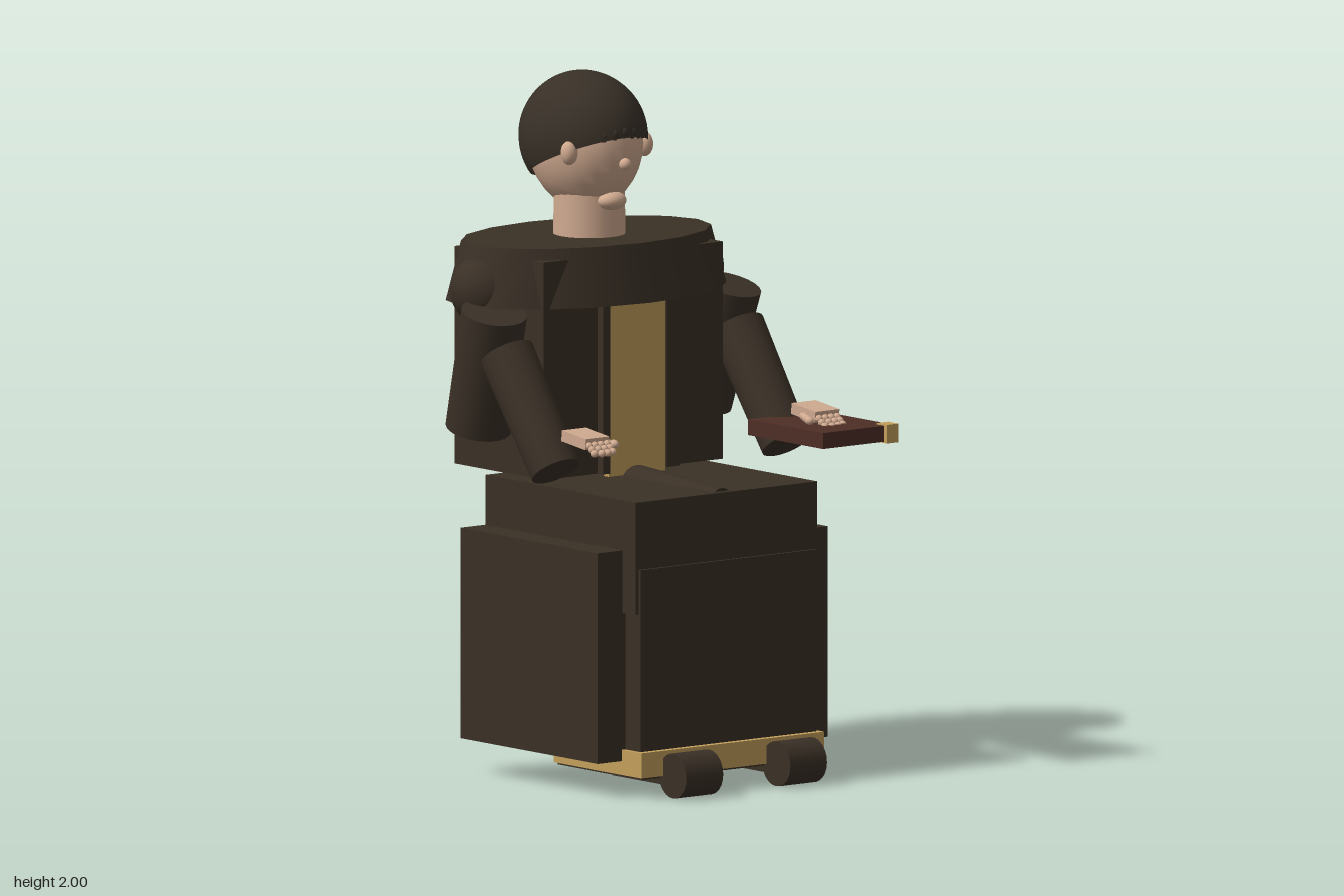
import * as THREE from 'three';

const mat = (name, color) => new THREE.MeshStandardMaterial({ name, color });

export function createModel() {
  const robe = mat('dark robe', 0x3a3026);
  const gold = mat('gold trim', 0xc4a05c);
  const skin = mat('skin', 0xd0aa90);
  const wood = mat('red brown', 0x4e2e26);
  const model = new THREE.Group();
  const CX = -0.018; // body centre line

  const add = (name, geo, material, parent = model) => {
    const m = new THREE.Mesh(geo, material);
    m.name = name;
    parent.add(m);
    return m;
  };
  // box given by its limits on each axis
  const box = (name, material, x0, x1, y0, y1, z0, z1, parent) => {
    const m = add(name, new THREE.BoxGeometry(x1 - x0, y1 - y0, z1 - z0), material, parent);
    m.position.set((x0 + x1) / 2, (y0 + y1) / 2, (z0 + z1) / 2);
    return m;
  };
  const ball = (name, material, x, y, z, rx, ry = rx, rz = rx, parent) => {
    const m = add(name, new THREE.SphereGeometry(1, 24, 16).scale(rx, ry, rz), material, parent);
    m.position.set(x, y, z);
    return m;
  };
  // tapered cylinder between two points
  const limb = (name, material, a, b, ra, rb, sides = 20, parent) => {
    const p = new THREE.Vector3(...a), q = new THREE.Vector3(...b);
    const m = add(name, new THREE.CylinderGeometry(rb, ra, p.distanceTo(q), sides), material, parent);
    m.position.copy(p).lerp(q, 0.5);
    m.quaternion.setFromUnitVectors(new THREE.Vector3(0, 1, 0), q.sub(p).normalize());
    return m;
  };

  // seat, shin panel and armrest panels
  box('lap', robe, -0.35, 0.315, 0.53, 0.855, -0.29, 0.4);
  box('shinPanel', robe, -0.34, 0.305, 0.13, 0.66, 0.03, 0.41);
  box('rightSidePanel', robe, -0.44, -0.335, 0.1, 0.71, -0.292, 0.34);
  box('leftSidePanel', robe, 0.295, 0.4, 0.1, 0.71, -0.292, 0.34);
  limb('lapFold', robe, [CX, 0.822, -0.1], [CX, 0.828, 0.38], 0.068, 0.037);

  // gold footboard with dark underside
  box('footboard', gold, -0.353, 0.317, 0.06, 0.133, 0.025, 0.43);
  box('footboardUnderside', robe, -0.345, 0.309, 0.054, 0.06, 0.035, 0.42);

  // feet
  for (const x of [-0.207, 0.172]) {
    limb('toe', robe, [x - 0.067, 0.065, 0.475], [x + 0.067, 0.065, 0.475], 0.065, 0.065, 24);
    box('sole', robe, x - 0.067, x + 0.067, 0.035, 0.07, 0.2, 0.475);
  }

  // torso and front band
  box('torso', robe, -0.345, 0.312, 0.87, 1.5, -0.44, -0.03);
  box('frontBand', gold, -0.12, 0.085, 0.86, 1.37, -0.035, -0.012);
  box('rightLapel', robe, -0.145, -0.12, 0.87, 1.37, -0.035, -0.005);
  box('leftLapel', robe, 0.085, 0.135, 0.87, 1.37, -0.035, -0.005);

  // oval shoulder cape
  const cape = add('cape', new THREE.CylinderGeometry(0.41, 0.46, 0.17, 16).scale(1, 1, 0.637), robe);
  cape.position.set(CX, 1.447, -0.245);

  // neck, head and face
  limb('neck', skin, [CX, 1.5, -0.23], [CX, 1.66, -0.23], 0.105, 0.103, 24);
  ball('head', skin, CX, 1.797, -0.25, 0.155, 0.197, 0.185);
  ball('nose', skin, CX, 1.75, -0.064, 0.018);
  ball('chin', skin, CX, 1.638, -0.125, 0.045, 0.027, 0.035);
  for (const s of [-1, 1]) ball('ear', skin, CX + s * 0.138, 1.787, -0.15, 0.024, 0.036, 0.026);

  // hair cap, open at the tilted hairline
  const hairMat = mat('dark hair', 0x383027);
  hairMat.side = THREE.DoubleSide;
  const hairGeo = new THREE.SphereGeometry(1, 40, 24, 0, Math.PI * 2, 0, 1.9);
  hairGeo.rotateX(-0.42).scale(0.177, 0.19, 0.2);
  add('hair', hairGeo, hairMat).position.set(CX, 1.81, -0.258);
  // small locks along the front hairline
  for (let i = -4; i <= 4; i++) {
    const a = i * 0.2;
    ball('hairLock', hairMat, CX + 0.157 * Math.sin(a), 1.842 - 0.02 * Math.abs(a),
      -0.255 + 0.183 * Math.cos(a), 0.015, 0.018, 0.014);
  }

  // arms and hands
  for (const s of [-1, 1]) {
    const arm = new THREE.Group();
    arm.name = s < 0 ? 'rightArm' : 'leftArm';
    arm.position.x = CX;
    model.add(arm);
    ball('shoulder', robe, s * 0.37, 1.4, -0.24, 0.104, 0.104, 0.104, arm);
    limb('upperArm', robe, [s * 0.405, 1.005, -0.232], [s * 0.43, 1.355, -0.127], 0.095, 0.095, 20, arm);
    limb('forearm', robe, [s * 0.422, 0.925, 0.145], [s * 0.422, 1.24, -0.08], 0.073, 0.08, 20, arm);

    const hand = new THREE.Group();
    hand.name = 'hand';
    hand.position.set(s * 0.421, 1.035, 0.28);
    hand.rotation.x = 0.12;
    arm.add(hand);
    box('palm', skin, -0.044, 0.044, -0.016, 0.016, -0.055, 0.055, hand);
    for (let f = 0; f < 4; f++) {
      const x = -0.033 + f * 0.022, n = f === 0 || f === 3 ? 0.014 : 0.017;
      for (let j = 0; j < 3; j++) {
        ball('fingerJoint', skin, x, -0.004 - j * 0.008, 0.06 + j * n, 0.011, 0.011, 0.012, hand);
      }
    }
    for (let j = 0; j < 3; j++) {
      ball('thumbJoint', skin, -s * (0.048 + j * 0.008), -0.008, 0.01 + j * 0.022, 0.012, 0.012, 0.016, hand);
    }
  }

  // tablet under the left hand with gold corner
  box('tablet', wood, 0.272, 0.532, 0.962, 1.008, 0.135, 0.48);
  box('tabletCorner', gold, 0.497, 0.54, 0.958, 1.012, 0.445, 0.492);

  return model;
}
